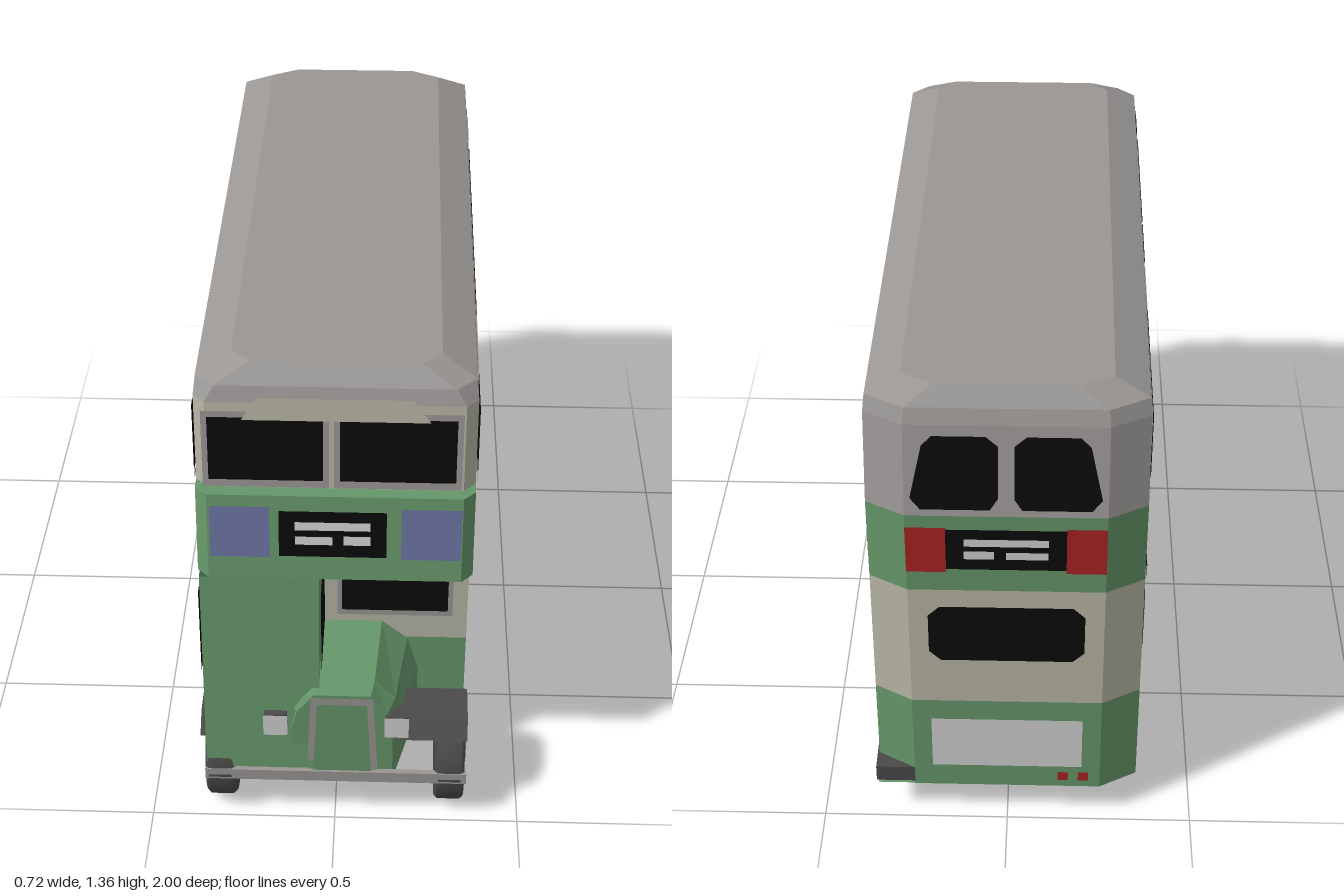
import * as THREE from 'three';

const mat = (name, color) => {
  const m = new THREE.MeshStandardMaterial({ color, side: THREE.DoubleSide });
  m.name = name;
  return m;
};

export function createModel() {
  const bus = new THREE.Group();
  bus.name = 'doubleDeckBus';
  const green = mat('green', 0x66976a), cream = mat('cream', 0xb7b6a5), grey = mat('roofGrey', 0x999694);
  const dark = mat('darkGrey', 0x4a4a4a), black = mat('black', 0x0a0a0a), white = mat('white', 0xd0d0d0);
  const yellow = mat('yellow', 0xac9545), red = mat('red', 0xa82323), blue = mat('blue', 0x6b73a0);

  const add = (name, geo, m, parent = bus) => {
    const mesh = new THREE.Mesh(geo, m);
    mesh.name = name;
    parent.add(mesh);
    return mesh;
  };
  const box = (name, m, x0, x1, y0, y1, z0, z1) =>
    add(name, new THREE.BoxGeometry(x1 - x0, y1 - y0, z1 - z0), m)
      .position.set((x0 + x1) / 2, (y0 + y1) / 2, (z0 + z1) / 2);
  const flat = (tris) => {
    const g = new THREE.BufferGeometry();
    g.setAttribute('position', new THREE.Float32BufferAttribute(tris.flat(), 3));
    g.computeVertexNormals();
    return g;
  };
  // strip of flat quads between two point lists
  const strip = (name, m, a, b) => {
    const t = [];
    for (let i = 0; i + 1 < a.length; i++) t.push(a[i], a[i + 1], b[i + 1], a[i], b[i + 1], b[i]);
    return add(name, flat(t), m);
  };
  // flat outline laid on a surface: place(u, v) gives the 3D point
  const plate = (name, m, place, outline) => {
    const shape = Array.isArray(outline)
      ? new THREE.Shape(outline.map(([u, v]) => new THREE.Vector2(u, v))) : outline;
    const g = new THREE.ShapeGeometry(shape, 8), p = g.attributes.position;
    for (let i = 0; i < p.count; i++) p.setXYZ(i, ...place(p.getX(i), p.getY(i)));
    g.computeVertexNormals();
    return add(name, g, m);
  };
  const rect = (u0, u1, v0, v1) => [[u0, v0], [u1, v0], [u1, v1], [u0, v1]];
  const roundRect = (u0, u1, v0, v1, c) => [[u0 + c, v0], [u1 - c, v0], [u1, v0 + c], [u1, v1 - c],
    [u1 - c, v1], [u0 + c, v1], [u0, v1 - c], [u0, v0 + c]];

  // surfaces that plates are laid on
  const W = 0.35;
  const side = (s, off) => (z, y) => [s * (W + off), y, z];
  const front = (off) => (x, y) =>
    [x, y, off + (y < 1.04 ? 0.94 - (y - 0.8) * 0.125 : 0.875 - (y - 1.04) * 0.083)];
  const rear = (off) => (x, y) => [x, y, -off - (y < 1.03 ? 0.988 : 0.99 - (y - 1.03) * 0.18)];
  const bulkhead = (off) => (x, y) => [x, y, 0.735 + off];
  const cabZ = (y) => 0.94 + (0.8 - y) * 0.084;

  // upper deck and roof: chamfered plan rings joined in coloured bands
  const ring = (y, zf, zr, hw, cf, cr) => [[hw, zf - cf], [hw - cf, zf], [cf - hw, zf], [-hw, zf - cf],
    [-hw, zr + cr * 0.55], [cr - hw, zr], [hw - cr, zr], [hw, zr + cr * 0.55], [hw, zf - cf]]
    .map(([x, z]) => [x, y, z]);
  const rings = [ring(0.8, 0.94, -0.985, W, 0.03, 0.1), ring(1.04, 0.91, -0.99, W, 0.03, 0.1),
    ring(1.04, 0.875, -0.99, W, 0.03, 0.1), ring(1.28, 0.855, -0.945, W, 0.03, 0.1),
    ring(1.32, 0.84, -0.93, 0.346, 0.05, 0.1), ring(1.36, 0.79, -0.885, 0.26, 0.05, 0.08)];
  strip('upperPanels', green, rings[0], rings[1]);
  strip('frontLedge', green, rings[1].slice(0, 4), rings[2].slice(0, 4));
  strip('upperWindowBand', cream, rings[2].slice(0, 5), rings[3].slice(0, 5));
  strip('upperWindowBandLeft', cream, rings[2].slice(7), rings[3].slice(7));
  strip('rearDome', grey, rings[2].slice(4, 8), rings[3].slice(4, 8));
  strip('roofRim', grey, rings[3], rings[4]);
  strip('roofSlope', grey, rings[4], rings[5]);
  const plan = (r) => r.slice(0, 8).map(([x, , z]) => [x, z]);
  plate('roofTop', grey, (x, z) => [x, 1.36, z], plan(rings[5]));
  plate('upperFloor', green, (x, z) => [x, 0.801, z], plan(rings[0]));

  // lower body sides with rear wheel arches
  for (const [s, z0] of [[1, -0.64], [-1, -0.93]]) {
    const panel = new THREE.Shape();
    panel.moveTo(z0, 0.11);
    panel.lineTo(-0.52, 0.11);
    panel.absellipse(-0.37, 0.11, 0.15, 0.2, Math.PI, 0, true);
    panel.lineTo(0.735, 0.11);
    panel.lineTo(0.735, 0.42);
    panel.lineTo(z0, 0.42);
    plate('lowerSidePanel', green, side(s, 0), panel);
    plate('lowerWindowBand', cream, side(s, 0), rect(z0, 0.735, 0.42, 0.8));
  }
  // rear wall, platform bulkhead and front bulkhead
  const wall = (name, pts, ySplit, y0 = 0.11) => {
    const at = (y) => pts.map(([x, z]) => [x, y, z]);
    strip(name + 'Lower', green, at(y0), at(ySplit));
    strip(name + 'Upper', cream, at(ySplit), at(0.8));
  };
  wall('rearWall', [[-W, -0.93], [-0.25, -0.985], [0.25, -0.985], [W, -0.93]], 0.42);
  wall('platformBulkhead', [[W, -0.64], [0.3, -0.7], [-W, -0.7]], 0.42);
  wall('frontBulkhead', [[-W, 0.735], [W, 0.735]], 0.43);

  // rear platform and pole
  box('platform', dark, -0.2, 0.355, 0.12, 0.17, -0.985, -0.7);
  plate('platformUnderside', green, (x, z) => [x, 0.112, z],
    [[-W, -0.7], [-W, -0.93], [-0.25, -0.985], [0.35, -0.985], [0.35, -0.7]]);
  add('platformPole', new THREE.CylinderGeometry(0.012, 0.012, 0.63, 10), white).position.set(0.332, 0.485, -0.845);

  // driver's cab
  strip('cabFront', green, [[-0.345, 0.8, cabZ(0.8)], [-0.345, 0.18, cabZ(0.18)]],
    [[-0.04, 0.8, cabZ(0.8)], [-0.04, 0.18, cabZ(0.18)]]);
  for (const x of [-0.345, -0.04]) {
    const out = x < -0.1 ? -0.005 : 0.005;
    plate('cabSide', green, (z, y) => [x, y, z], [[0.735, 0.3], [cabZ(0.3), 0.3], [cabZ(0.8), 0.8], [0.735, 0.8]]);
    plate('cabWindow', black, (z, y) => [x + out, y, z], [[0.725, 0.49], [0.955, 0.49], [0.935, 0.745], [0.725, 0.745]]);
  }

  // bonnet: cross-sections joined along z, about its own centre line
  const hood = [[0.735, 0.2, 0.17, 0.1, 0.485], [0.95, 0.145, 0.14, 0.085, 0.465], [0.985, 0.135, 0.12, 0.075, 0.44]]
    .map(([z, wb, ws, wt, top]) => [[-wb, 0.14], [-wb, 0.32], [-ws, top - 0.06], [-wt, top], [wt, top],
      [ws, top - 0.06], [wb, 0.32], [wb, 0.14]].map(([x, y]) => [x + 0.02, y, z]));
  strip('bonnet', green, hood[0], hood[1]);
  strip('bonnetNose', green, hood[1], hood[2]);
  plate('bonnetFront', green, (x, y) => [x, y, 0.985], hood[2].map(([x, y]) => [x, y]));
  const grille = (off) => (x, y) => [x + 0.02, y, 0.985 + off];
  plate('radiatorFrame', grey, grille(0.005), [[-0.097, 0.14], [0.097, 0.14], [0.082, 0.435], [-0.082, 0.435]]);
  plate('radiatorCore', green, grille(0.009), [[-0.08, 0.14], [0.08, 0.14], [0.066, 0.415], [-0.066, 0.415]]);
  for (const x of [-0.157, 0.165]) {
    box('headlamp', dark, x - 0.03, x + 0.03, 0.305, 0.375, 0.95, 0.994);
    plate('headlampLens', white, (u, v) => [u, v, 0.997], rect(x - 0.032, x + 0.032, 0.305, 0.375));
  }
  box('bumper', grey, -0.35, 0.355, 0.14, 0.175, 0.985, 1);

  // front mudguard and rear wheel tunnel run the full width
  const guard = [[0.98, 0.28], [0.93, 0.325], [0.83, 0.33], [0.77, 0.27], [0.74, 0.18], [0.72, 0.06]];
  strip('frontMudguard', dark, guard.map(([z, y]) => [-0.36, y, z]), guard.map(([z, y]) => [0.355, y, z]));
  const arch = Array.from({ length: 13 }, (_, i) => [-0.37 + 0.15 * Math.cos(i * Math.PI / 12),
    0.11 + 0.2 * Math.sin(i * Math.PI / 12)]);
  strip('rearWheelTunnel', dark, arch.map(([z, y]) => [-0.345, y, z]), arch.map(([z, y]) => [0.345, y, z]));

  // wheels
  const lathe = (pts) => new THREE.LatheGeometry(pts.map(([r, h]) => new THREE.Vector2(r, h)), 24);
  const tyre = lathe([[0.001, -0.04], [0.14, -0.04], [0.15, -0.03], [0.15, 0.03], [0.14, 0.04], [0.1, 0.04], [0.095, 0.025]]);
  const hub = lathe([[0.1, 0.03], [0.09, 0.042], [0.067, 0.042], [0.06, 0.025], [0.035, 0.025], [0.03, 0.046], [0.001, 0.046]]);
  for (const z of [0.87, -0.37]) for (const s of [1, -1]) {
    const wheel = new THREE.Group();
    wheel.name = z > 0 ? 'frontWheel' : 'rearWheel';
    add('tyre', tyre, dark, wheel).rotation.z = -s * Math.PI / 2;
    add('hub', hub, green, wheel).rotation.z = -s * Math.PI / 2;
    wheel.position.set(s * 0.31, 0.15, z);
    wheel.scale.z = 0.87;
    bus.add(wheel);
  }

  // side windows: g = glass, b = glass with bar, c = blank cream panel
  const windowRow = (s, y0, y1, edges, kinds) => {
    plate('windowFrame', grey, side(s, 0.003), rect(edges[0] - 0.01, edges[edges.length - 1] + 0.01, y0 - 0.015, y1 + 0.015));
    [...kinds].forEach((k, i) => {
      const a = edges[i] + 0.004, b = edges[i + 1] - 0.004;
      plate(k === 'c' ? 'blankPanel' : 'sideWindow', k === 'c' ? cream : black, side(s, 0.006), rect(a, b, y0, y1));
      if (k !== 'g') plate('windowBar', grey, side(s, 0.008), rect(a, b, (y0 + y1) / 2, (y0 + y1) / 2 + 0.01));
    });
  };
  const left = [-0.61, -0.36, -0.11, 0.125, 0.36, 0.635];
  const right = [-0.86, ...left];
  windowRow(1, 1.06, 1.25, left, 'ggbbc');
  windowRow(1, 0.505, 0.69, left, 'ggbbc');
  windowRow(-1, 1.06, 1.25, right, 'bgcbbb');
  windowRow(-1, 0.505, 0.69, right, 'bbbbbb');
  for (const s of [1, -1]) {
    plate('cornerWindow', black, side(s, 0.005), [[0.655, 1.06], [0.84, 1.06], [0.825, 1.25], [0.655, 1.25]]);
    plate('beltRail', grey, side(s, 0.004), rect(-0.89, 0.84, 1.037, 1.055));
  }
  plate('quarterFrame', grey, side(1, 0.003), [[-0.635, 1.05], [-0.885, 1.05], [-0.84, 1.265], [-0.635, 1.265]]);
  plate('quarterPanel', cream, side(1, 0.006), [[-0.635, 1.06], [-0.865, 1.06], [-0.825, 1.25], [-0.635, 1.25]]);

  // side boards
  plate('leftBoard', white, side(1, 0.004), rect(-0.61, 0.69, 0.845, 1.03));
  plate('rightBoard', yellow, side(-1, 0.004), rect(-0.67, 0.64, 0.845, 1.03));
  plate('rightShadowStrip', black, side(-1, 0.004), rect(-0.92, 0.1, 0.803, 0.838));

  // destination boxes with plain light bars
  const sign = (place, u0, u1, v0, v1) => {
    const w = u1 - u0, h = v1 - v0, bar = (a, b, c, d) =>
      plate('signBar', white, place(0.008), rect(u0 + w * a, u0 + w * b, v0 + h * c, v0 + h * d));
    plate('signBox', black, place(0.005), rect(u0, u1, v0, v1));
    bar(0.15, 0.85, 0.6, 0.78);
    bar(0.15, 0.5, 0.28, 0.46);
    bar(0.6, 0.85, 0.28, 0.48);
  };
  const leftSide = (off) => side(1, off);
  sign(front, -0.14, 0.13, 0.87, 1.0);
  sign(leftSide, -0.895, -0.675, 0.845, 0.99);
  sign(rear, -0.15, 0.15, 0.875, 1.0);
  plate('smallSign', black, leftSide(0.004), rect(-0.635, -0.505, 0.73, 0.78));
  plate('smallSignBar', white, leftSide(0.007), rect(-0.62, -0.545, 0.738, 0.77));

  // front windows, peak and side panels
  for (const [x0, x1] of [[-0.315, -0.03], [0.012, 0.3]]) {
    plate('frontWindowFrame', grey, front(0.003), rect(x0 - 0.015, x1 + 0.015, 1.043, 1.258));
    plate('frontWindow', black, front(0.006), rect(x0, x1, 1.065, 1.243));
  }
  plate('frontPeak', cream, front(0.009), [[-0.23, 1.238], [0.235, 1.238], [0.19, 1.3], [-0.19, 1.3]]);
  for (const x of [-0.238, 0.242]) plate('frontBluePanel', blue, front(0.004), rect(x - 0.075, x + 0.075, 0.865, 1.01));
  plate('bulkheadWindowFrame', grey, bulkhead(0.004), rect(0, 0.31, 0.51, 0.735));
  plate('bulkheadWindow', black, bulkhead(0.008), rect(0.012, 0.297, 0.53, 0.72));

  // rear windows and fittings
  for (const s of [1, -1]) {
    plate('rearUpperWindow', black, rear(0.006), [[s * 0.02, 1.09], [s * 0.04, 1.06], [s * 0.21, 1.06],
      [s * 0.235, 1.09], [s * 0.205, 1.23], [s * 0.18, 1.255], [s * 0.05, 1.255], [s * 0.02, 1.23]]);
    plate('rearRedPanel', red, rear(0.005), rect(s * 0.2 - 0.05, s * 0.2 + 0.05, 0.865, 1.005));
  }
  plate('rearLowerWindow', black, rear(0.004), roundRect(-0.2, 0.2, 0.57, 0.75, 0.03));
  plate('rearBoard', white, rear(0.004), rect(-0.2, 0.2, 0.19, 0.36));
  for (const x of [-0.15, -0.205]) plate('tailLamp', red, rear(0.005), rect(x - 0.014, x + 0.014, 0.14, 0.17));

  return bus;
}
